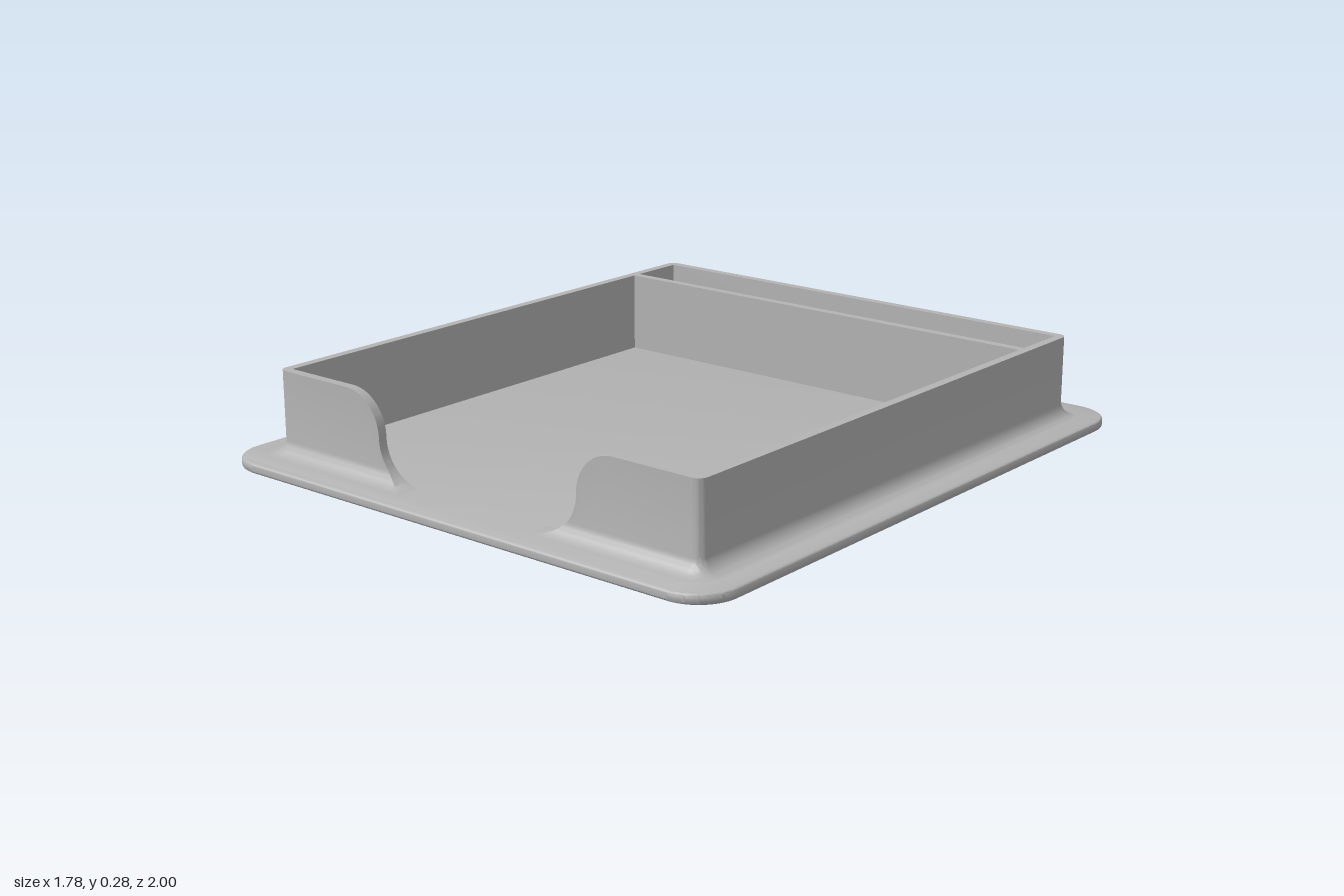
import * as THREE from 'three';
import { toCreasedNormals } from 'three/addons/utils/BufferGeometryUtils.js';

const FLOOR = 0.03, TOP = 0.28;      // plate top and wall top
const IX = 0.746, IZ = 0.85;         // inner half sizes of the tray
const T = 0.028, R = 0.05;           // wall thickness and foot fillet radius
const S = (TOP - FLOOR) / 2;         // radius of the two arcs of the front cutout
const MID = 0.365;                   // x where the cutout edge is vertical

// Rounded plate with softened edges
function plateGeometry() {
  const b = 0.008, x = 0.89 - b, z = 1 - b, r = 0.125 - b;
  const s = new THREE.Shape();
  s.absarc(x - r, z - r, r, 0, Math.PI / 2);
  s.absarc(-x + r, z - r, r, Math.PI / 2, Math.PI);
  s.absarc(-x + r, -z + r, r, Math.PI, Math.PI * 1.5);
  s.absarc(x - r, -z + r, r, Math.PI * 1.5, Math.PI * 2);
  const g = new THREE.ExtrudeGeometry(s, {
    depth: FLOOR - 2 * b, bevelThickness: b, bevelSize: b, bevelSegments: 4, curveSegments: 16,
  });
  g.rotateX(-Math.PI / 2).translate(0, b, 0);
  return toCreasedNormals(g, 0.6);
}

// Stations along half of the wall: cutout S-curve, front corner, back corner
function halfPath() {
  const path = [], n = 20, c = 8;
  for (let i = 0; i <= n; i++) {
    const a = (i / n) * Math.PI / 2;
    path.push({ x: MID - S + S * Math.sin(a), z: IZ, nx: 0, nz: 1, h: FLOOR + S - S * Math.cos(a) });
  }
  for (let i = 1; i <= n; i++) {
    const a = (i / n) * Math.PI / 2;
    path.push({ x: MID + S - S * Math.cos(a), z: IZ, nx: 0, nz: 1, h: FLOOR + S + S * Math.sin(a) });
  }
  for (const [z, start] of [[IZ, 0], [-IZ, Math.PI / 2]]) {
    for (let i = 0; i <= c; i++) {
      const a = start + (i / c) * Math.PI / 2;
      path.push({ x: IX, z, nx: Math.sin(a), nz: Math.cos(a), h: TOP });
    }
  }
  return path;
}

// Outward offset of the wall's outer face at height y
function outerOffset(y) {
  const k = Math.max(0, R - (y - FLOOR));
  return T + R - Math.sqrt(Math.max(0, R * R - k * k));
}

// Wall swept around the tray, with its foot fillet, cut down at the front opening
function wallGeometry() {
  const half = halfPath();
  const path = [...half, ...half.slice().reverse().map((p) => ({ ...p, x: -p.x, nx: -p.nx }))];
  const rows = path.map((p) => {
    const section = [[0, FLOOR], [0, p.h], [outerOffset(p.h), p.h]];
    for (let j = 10; j >= 0; j--) {
      const y = Math.min(p.h, FLOOR + R * (1 - Math.cos((j / 10) * Math.PI / 2)));
      section.push([outerOffset(y), y]);
    }
    return section.map(([d, y]) => new THREE.Vector3(p.x + p.nx * d, y, p.z + p.nz * d));
  });
  const pos = [];
  const tri = (a, b, c) => {
    const area = b.clone().sub(a).cross(c.clone().sub(a)).length();
    if (area > 1e-9) pos.push(...a.toArray(), ...b.toArray(), ...c.toArray());
  };
  for (let i = 0; i < rows.length - 1; i++) {
    for (let j = 0; j < rows[i].length - 1; j++) {
      const a = rows[i][j], b = rows[i][j + 1], c = rows[i + 1][j + 1], d = rows[i + 1][j];
      tri(a, b, c);
      tri(a, c, d);
    }
  }
  const g = new THREE.BufferGeometry();
  g.setAttribute('position', new THREE.Float32BufferAttribute(pos, 3));
  return toCreasedNormals(g, 0.6);
}

export function createModel() {
  const model = new THREE.Group();
  model.name = 'tray';
  const grey = new THREE.MeshStandardMaterial({ color: 0xb3b3b3 });
  grey.name = 'grey';
  const add = (name, geometry) => {
    const mesh = new THREE.Mesh(geometry, grey);
    mesh.name = name;
    model.add(mesh);
    return mesh;
  };

  add('basePlate', plateGeometry());
  add('surroundingWall', wallGeometry());

  // Partition for the narrow rear compartment
  add('divider', new THREE.BoxGeometry(2 * IX, TOP - FLOOR, T))
    .position.set(0, (TOP + FLOOR) / 2, -0.658);

  return model;
}
